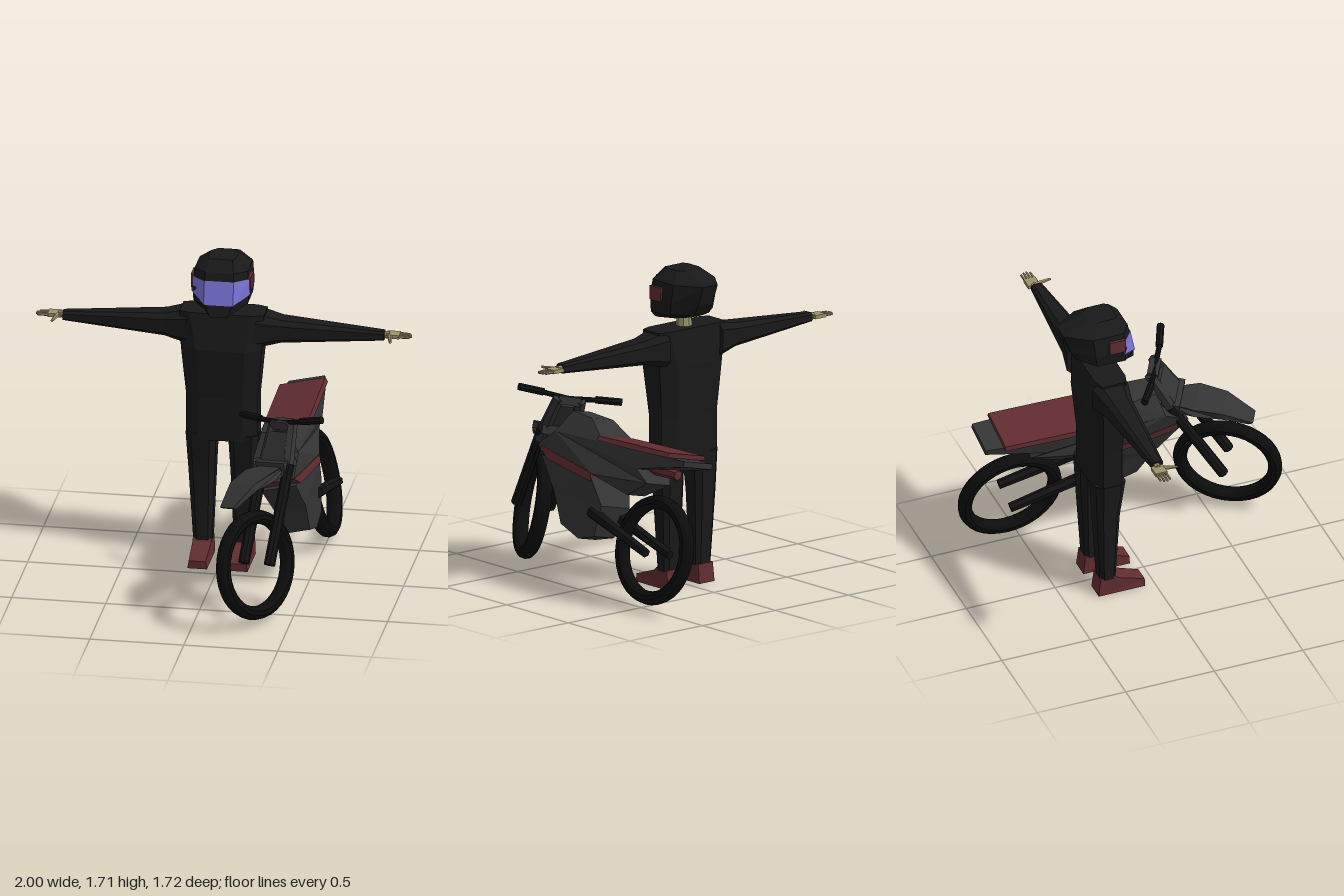
import * as THREE from 'three';

const mat = (color, side = THREE.FrontSide) => new THREE.MeshStandardMaterial({ color, flatShading: true, side });
const SUIT = mat(0x191919), SKIN = mat(0x9a9468), RED = mat(0x602c30), GREY = mat(0x343434), BLACK = mat(0x121212), TYRE = mat(0x0c0c0c);
const VISOR = mat(0x7a74d6, THREE.DoubleSide);

function add(parent, name, geometry, material) {
  const mesh = new THREE.Mesh(geometry, material);
  mesh.name = name;
  parent.add(mesh);
  return mesh;
}

function fromTriangles(pos) {
  const g = new THREE.BufferGeometry();
  g.setAttribute('position', new THREE.Float32BufferAttribute(pos.flat(), 3));
  g.computeVertexNormals();
  return g;
}

// Skin over rings stacked upwards, closed at both ends
function loft(rings) {
  const tris = [], n = rings[0].length, last = rings.length - 1;
  for (let r = 0; r < last; r++) {
    const a = rings[r], b = rings[r + 1];
    for (let i = 0; i < n; i++) {
      const j = (i + 1) % n;
      tris.push(a[i], a[j], b[j], a[i], b[j], b[i]);
    }
  }
  for (let i = 1; i < n - 1; i++) {
    tris.push(rings[0][0], rings[0][i + 1], rings[0][i]);
    tris.push(rings[last][0], rings[last][i], rings[last][i + 1]);
  }
  return fromTriangles(tris);
}

// Eight-sided ring: half width, height, half depth, centre
const oct = (hx, y, hz, cx = 0, cz = 0, k = 0.6) =>
  [[-k, 1], [k, 1], [1, k], [1, -k], [k, -1], [-k, -1], [-1, -k], [-1, k]].map(([x, z]) => [cx + x * hx, y, cz + z * hz]);

// Side outline [z, y, half width] given thickness across x
function slab(outline) {
  let pts = outline;
  let flat = pts.map(p => new THREE.Vector2(-p[0], p[1]));
  if (THREE.ShapeUtils.isClockWise(flat)) { pts = [...pts].reverse(); flat = flat.reverse(); }
  const v = (i, s) => [s * pts[i][2], pts[i][1], pts[i][0]];
  const tris = [];
  for (const [a, b, c] of THREE.ShapeUtils.triangulateShape(flat, [])) {
    tris.push(v(a, 1), v(b, 1), v(c, 1), v(a, -1), v(c, -1), v(b, -1));
  }
  for (let i = 0; i < pts.length; i++) {
    const j = (i + 1) % pts.length;
    tris.push(v(i, 1), v(i, -1), v(j, -1), v(i, 1), v(j, -1), v(j, 1));
  }
  return fromTriangles(tris);
}

// Straight bar between two points
function bar(from, to, r0, r1 = r0, sides = 8) {
  const a = new THREE.Vector3(...from), d = new THREE.Vector3(...to).sub(a);
  const g = new THREE.CylinderGeometry(r1, r0, d.length(), sides);
  g.applyQuaternion(new THREE.Quaternion().setFromUnitVectors(new THREE.Vector3(0, 1, 0), d.clone().normalize()));
  return g.translate(a.x + d.x / 2, a.y + d.y / 2, a.z + d.z / 2);
}

const box = (w, h, d, x, y, z) => new THREE.BoxGeometry(w, h, d).translate(x, y, z);

function createHelmet() {
  const helmet = new THREE.Group();
  helmet.name = 'helmet';
  const ring = (yf, yb, fw, zf, sw, z1, z2, bw, zb) => [
    [-fw, yf, zf], [fw, yf, zf], [sw, yf + (yb - yf) * 0.3, z1], [sw, yf + (yb - yf) * 0.7, z2],
    [bw, yb, zb], [-bw, yb, zb], [-sw, yf + (yb - yf) * 0.7, z2], [-sw, yf + (yb - yf) * 0.3, z1]];
  add(helmet, 'helmetShell', loft([
    ring(1.425, 1.47, 0.045, -0.075, 0.08, -0.14, -0.28, 0.04, -0.36),
    ring(1.48, 1.49, 0.07, -0.085, 0.145, -0.16, -0.32, 0.05, -0.40),
    ring(1.55, 1.55, 0.075, -0.1, 0.152, -0.165, -0.33, 0.05, -0.435),
    ring(1.66, 1.655, 0.075, -0.12, 0.142, -0.17, -0.34, 0.05, -0.472),
    ring(1.715, 1.715, 0.06, -0.175, 0.075, -0.2, -0.29, 0.04, -0.33)]), SUIT);
  // Wraparound visor
  const cols = [[-0.156, 1.53, -0.17, -0.17], [-0.078, 1.49, -0.08, -0.106], [0.078, 1.49, -0.08, -0.106], [0.156, 1.53, -0.17, -0.17]];
  const tris = [];
  for (let i = 0; i < 3; i++) {
    const [a, b] = [cols[i], cols[i + 1]];
    const al = [a[0], a[1], a[2]], au = [a[0], 1.617, a[3]], bl = [b[0], b[1], b[2]], bu = [b[0], 1.617, b[3]];
    tris.push(al, bl, bu, al, bu, au);
  }
  add(helmet, 'visor', fromTriangles(tris), VISOR);
  for (const s of [1, -1]) add(helmet, 'visorHinge', box(0.02, 0.075, 0.09, s * 0.15, 1.59, -0.21), RED);
  return helmet;
}

function createRider() {
  const rider = new THREE.Group();
  rider.name = 'rider';
  const Z = -0.25;
  add(rider, 'torso', loft([oct(0.19, 0.69, 0.085, 0, Z), oct(0.19, 0.93, 0.085, 0, Z),
    oct(0.215, 1.21, 0.115, 0, Z + 0.005), oct(0.225, 1.405, 0.085, 0, Z - 0.005, 0.75)]), SUIT);
  add(rider, 'neck', bar([0, 1.39, -0.258], [0, 1.48, -0.258], 0.045, 0.035), SKIN).scale.set(1, 1, 1);
  rider.add(createHelmet());
  for (const s of [1, -1]) {
    add(rider, 'arm', loft([oct(0.095, 0.18, 0.1), oct(0.063, 0.31, 0.073), oct(0.024, 0.855, 0.031)])
      .rotateZ(-s * Math.PI / 2).translate(0, 1.31, -0.262), SUIT);
    add(rider, 'leg', loft([oct(0.05, 0.09, 0.044, s * 0.108, -0.258), oct(0.07, 0.5, 0.064, s * 0.112, -0.26),
      oct(0.081, 0.72, 0.084, s * 0.113, Z)]), SUIT);
    add(rider, 'boot', slab([[-0.055, 0.003, 0.052], [-0.055, 0.045, 0.045], [-0.205, 0.095, 0.05], [-0.22, 0.112, 0.05],
      [-0.305, 0.105, 0.05], [-0.317, 0.003, 0.052]]).translate(s * 0.108, 0, 0), RED);
    // Hand with fingers and thumb
    const hand = new THREE.Group();
    hand.name = 'hand';
    rider.add(hand);
    add(hand, 'wrist', bar([s * 0.83, 1.31, -0.265], [s * 0.88, 1.31, -0.27], 0.019), SKIN);
    add(hand, 'palm', box(0.07, 0.02, 0.066, s * 0.9, 1.31, -0.272), SKIN);
    for (let i = 0; i < 4; i++) {
      const z = -0.298 + i * 0.0175, tip = [0.985, 0.997, 1, 0.99][i];
      add(hand, 'finger', bar([s * 0.925, 1.31, z], [s * tip, 1.309, z], 0.008, 0.006, 6), SKIN);
    }
    add(hand, 'thumb', bar([s * 0.885, 1.31, -0.245], [s * 0.9, 1.308, -0.168], 0.013, 0.007, 6), SKIN);
  }
  return rider;
}

const tyre = (y, z) => new THREE.TorusGeometry(0.253, 0.037, 10, 36).scale(1, 1, 1.15).rotateY(Math.PI / 2).translate(0, y, z);

// Steered front end, built around its turning axis
function createFrontEnd() {
  const front = new THREE.Group();
  front.name = 'frontEnd';
  add(front, 'frontTyre', tyre(0.36, 0.3), TYRE);
  for (const s of [1, -1]) {
    add(front, 'forkLeg', bar([s * 0.09, 0.36, 0.29], [s * 0.09, 0.8, -0.03], 0.03), BLACK);
    add(front, 'forkTube', bar([s * 0.085, 0.74, 0.01], [s * 0.06, 0.985, -0.16], 0.036, 0.03, 6), GREY);
    add(front, 'handlebar', bar([0, 0.985, -0.14], [s * 0.16, 1.0, -0.14], 0.014), BLACK);
    add(front, 'grip', bar([s * 0.14, 1.0, -0.14], [s * 0.28, 1.01, -0.155], 0.02), BLACK);
  }
  add(front, 'handlebarClamp', box(0.12, 0.045, 0.06, 0, 0.975, -0.145), GREY);
  add(front, 'forkClamp', box(0.2, 0.05, 0.1, 0, 0.8, -0.03), GREY);
  add(front, 'frontPlate', slab([[-0.1, 0.95, 0.06], [0.01, 0.8, 0.09], [-0.02, 0.79, 0.09], [-0.13, 0.94, 0.06]]), GREY);
  add(front, 'frontFender', slab([[-0.05, 0.79, 0.06], [0.1, 0.815, 0.1], [0.25, 0.805, 0.085], [0.41, 0.735, 0.045],
    [0.39, 0.72, 0.045], [0.25, 0.765, 0.085], [0.1, 0.765, 0.1], [-0.05, 0.74, 0.06]]), GREY);
  front.position.z = 0.34;
  front.rotation.y = -Math.PI / 6;
  return front;
}

function createMotorbike() {
  const bike = new THREE.Group();
  bike.name = 'motorbike';
  add(bike, 'upperBody', slab([[0.18, 0.93, 0.06], [0.01, 0.92, 0.075], [-0.12, 0.845, 0.11], [-0.45, 0.83, 0.12], [-0.79, 0.84, 0.1],
    [-0.79, 0.81, 0.1], [-0.45, 0.735, 0.12], [-0.51, 0.67, 0.08], [-0.35, 0.58, 0.06], [-0.13, 0.645, 0.138],
    [0.365, 0.715, 0.1], [0.22, 0.81, 0.125]]), GREY);
  add(bike, 'stripe', slab([[0.365, 0.715, 0.103], [-0.13, 0.65, 0.142], [-0.13, 0.605, 0.138], [0.26, 0.65, 0.108]]), RED);
  add(bike, 'engineCover', slab([[0.33, 0.665, 0.095], [-0.13, 0.625, 0.135], [-0.21, 0.49, 0.1], [-0.16, 0.32, 0.07],
    [-0.03, 0.285, 0.06], [0.125, 0.335, 0.06], [0.19, 0.49, 0.085]]), GREY);
  add(bike, 'seat', slab([[-0.12, 0.825, 0.133], [-0.12, 0.848, 0.125], [-0.4, 0.858, 0.125], [-0.69, 0.865, 0.125], [-0.69, 0.84, 0.133],
    [-0.4, 0.828, 0.133]]), RED);
  add(bike, 'muffler', bar([0, 0.745, -0.44], [0, 0.745, -0.65], 0.032, 0.027, 6), RED);
  add(bike, 'rearTyre', tyre(0.33, -0.57), TYRE);
  for (const s of [1, -1]) add(bike, 'swingArm', bar([s * 0.08, 0.445, -0.12], [s * 0.085, 0.315, -0.6], 0.034, 0.026, 6), BLACK);
  bike.add(createFrontEnd());
  // Leaning towards the rider
  bike.position.x = 0.54;
  bike.rotation.z = THREE.MathUtils.degToRad(13);
  return bike;
}

export function createModel() {
  const model = new THREE.Group();
  model.name = 'riderWithMotorbike';
  model.add(createRider(), createMotorbike());
  return model;
}
